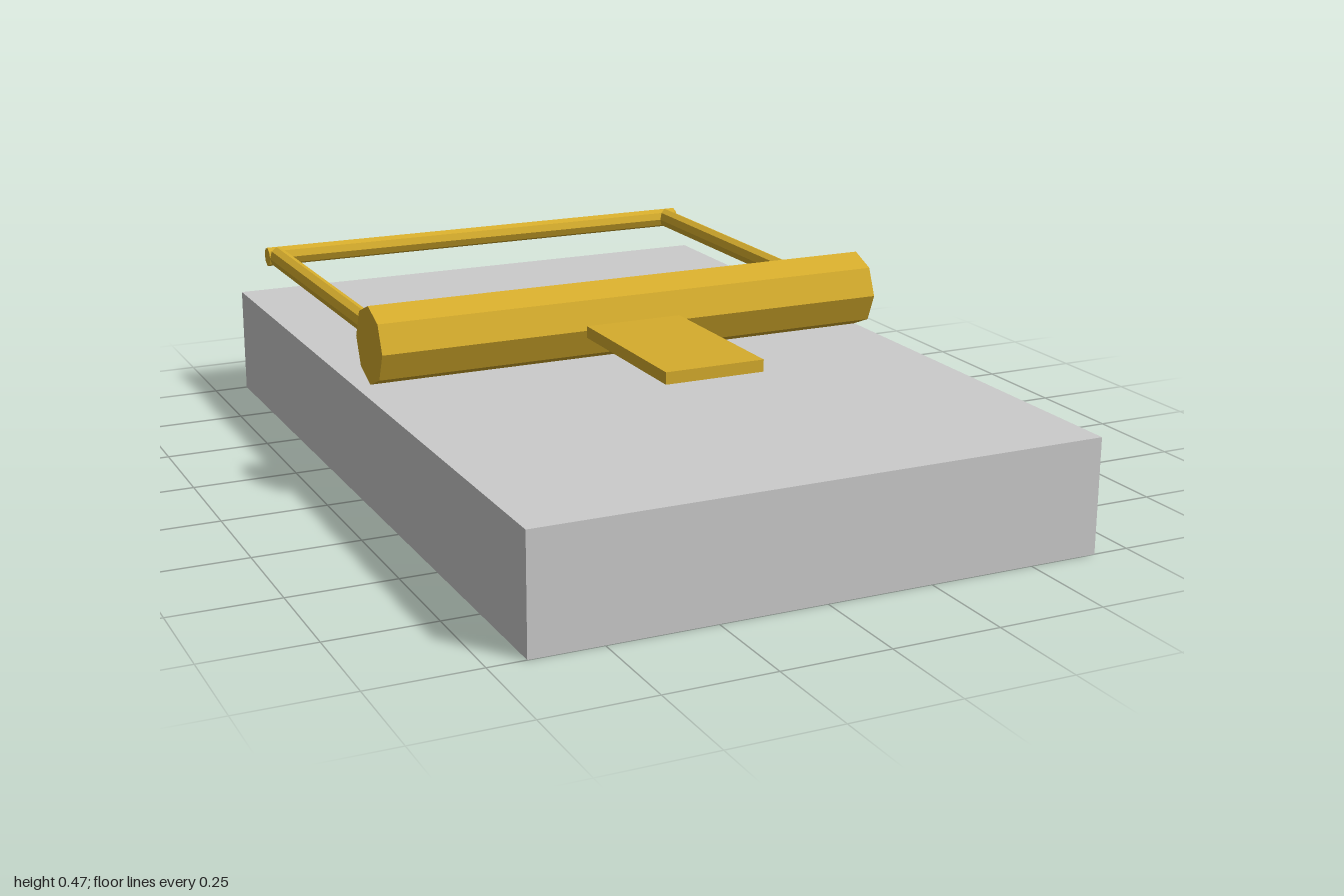
import * as THREE from 'three';

const wood = new THREE.MeshStandardMaterial({ color: 0xcccccc, flatShading: true });
const brass = new THREE.MeshStandardMaterial({ color: 0xd5ac2c, flatShading: true });

export function createModel() {
  const model = new THREE.Group();
  model.name = 'springTrap';

  const add = (name, geometry, material, x, y, z) => {
    const mesh = new THREE.Mesh(geometry, material);
    mesh.name = name;
    mesh.position.set(x, y, z);
    model.add(mesh);
  };
  // Eight-sided rods lying along x or z
  const rodX = (r, length) => new THREE.CylinderGeometry(r, r, length, 8).rotateZ(Math.PI / 2);
  const rodZ = (r, length) => new THREE.CylinderGeometry(r, r, length, 8).rotateX(Math.PI / 2);

  // Base slab
  add('base', new THREE.BoxGeometry(1.33, 0.267, 2), wood, 0, 0.1335, 0);

  // Thick spring roller across the middle
  add('springRoller', rodX(0.093, 1.28), brass, 0, 0.372, 0.01);

  // Wire bail: two arms and a back bar
  const wire = 0.025, wireY = 0.376, backZ = -0.92;
  add('rightArm', rodZ(wire, 0.85), brass, -0.587, wireY, backZ + 0.425);
  add('leftArm', rodZ(wire, 0.85), brass, 0.56, wireY, backZ + 0.425);
  add('backBar', rodX(wire, 1.2), brass, -0.012, wireY, backZ);

  // Trigger plate in front of the roller
  add('triggerPlate', new THREE.BoxGeometry(0.24, 0.028, 0.42), brass, -0.018, 0.369, 0.312);

  return model;
}
